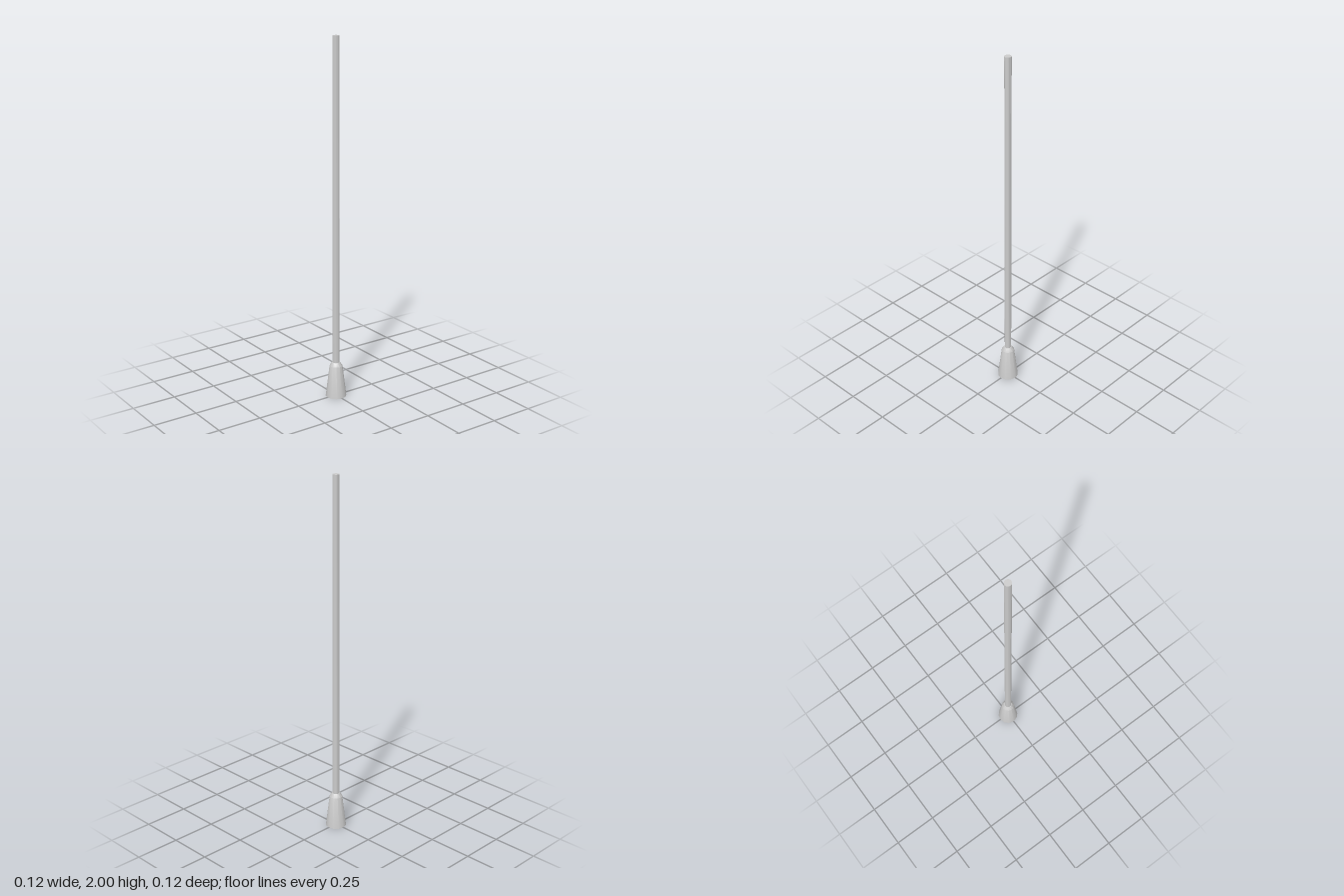
import * as THREE from 'three';
import { toCreasedNormals } from 'three/addons/utils/BufferGeometryUtils.js';

const SIDES = 12;

// Revolves a profile of [radius, height] pairs, keeping the rims sharp
function turned(name, profile, material) {
  const points = profile.map(([r, y]) => new THREE.Vector2(r, y));
  const geometry = toCreasedNormals(new THREE.LatheGeometry(points, SIDES), 0.54);
  const mesh = new THREE.Mesh(geometry, material);
  mesh.name = name;
  return mesh;
}

export function createModel() {
  const group = new THREE.Group();
  group.name = 'rodWithFoot';
  const grey = new THREE.MeshStandardMaterial({ color: 0xcccccc });

  // Flared foot with a chamfered shoulder
  group.add(turned('foot', [
    [0, 0], [0.058, 0], [0.036, 0.18], [0.022, 0.2], [0, 0.2],
  ], grey));

  // Long straight rod, seated in the foot
  group.add(turned('rod', [
    [0, 0.19], [0.019, 0.19], [0.019, 2], [0, 2],
  ], grey));

  return group;
}
